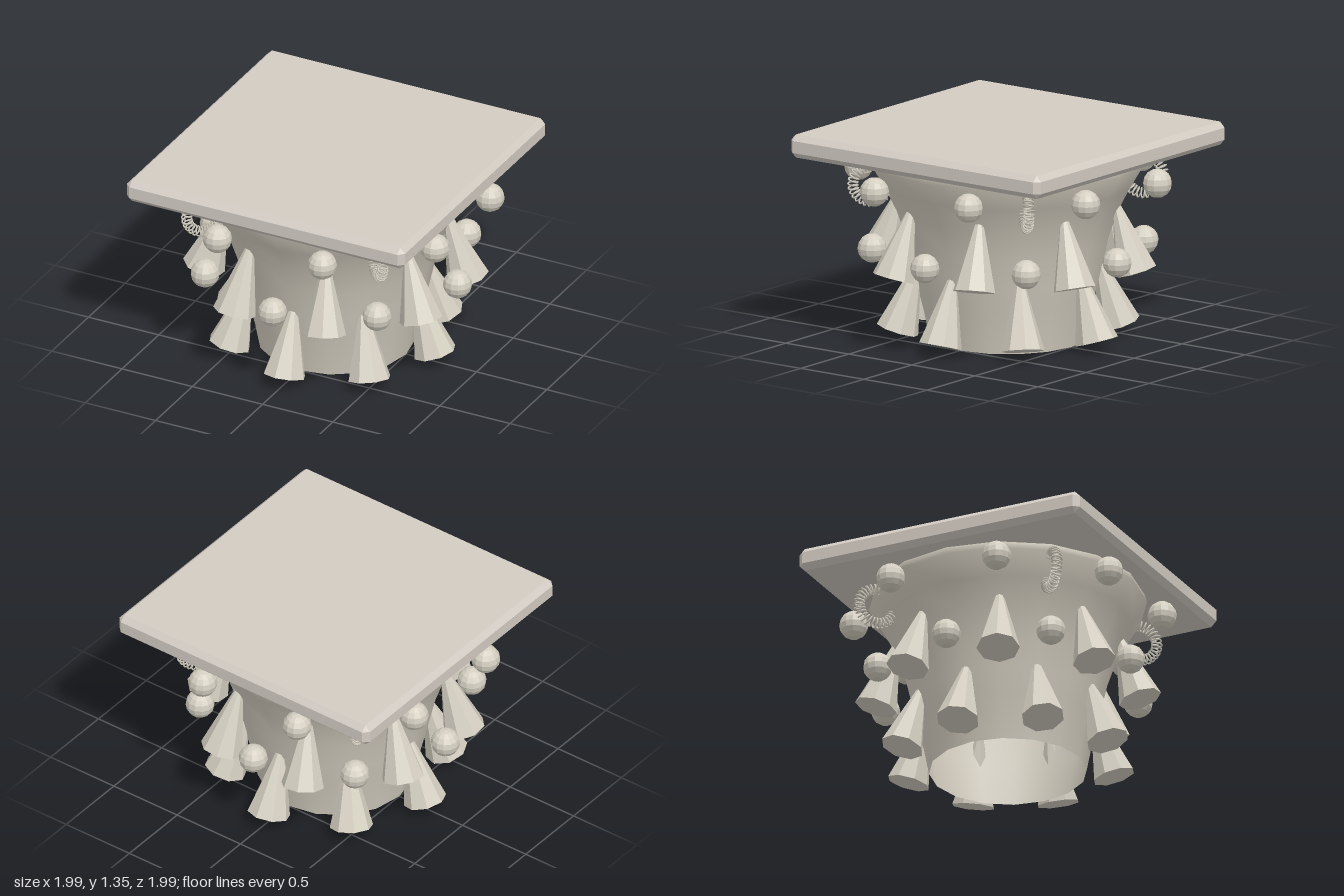
import * as THREE from 'three';
import { ConvexGeometry } from 'three/addons/geometries/ConvexGeometry.js';

const slabStone = new THREE.MeshStandardMaterial({ name: 'slab stone', color: 0xd2cbc2 });
const bellStone = new THREE.MeshStandardMaterial({ name: 'bell stone', color: 0xd3cdbf, side: THREE.DoubleSide });
const carvedStone = new THREE.MeshStandardMaterial({ name: 'carved stone', color: 0xd4cfc1 });

// Box with every edge chamfered by c
function chamferBox(hx, hy, hz, c) {
  const pts = [];
  for (const x of [-1, 1]) for (const y of [-1, 1]) for (const z of [-1, 1]) {
    pts.push(new THREE.Vector3(x * hx, y * (hy - c), z * (hz - c)));
    pts.push(new THREE.Vector3(x * (hx - c), y * hy, z * (hz - c)));
    pts.push(new THREE.Vector3(x * (hx - c), y * (hy - c), z * hz));
  }
  return new ConvexGeometry(pts);
}

// Thin wire wound around a ring, forming an openwork scroll
class ScrollCurve extends THREE.Curve {
  getPoint(t, target = new THREE.Vector3()) {
    const a = t * Math.PI * 2, b = a * 30;
    const r = 0.117 + 0.032 * Math.cos(b);
    return target.set(r * Math.cos(a), r * Math.sin(a), 0.032 * Math.sin(b));
  }
}

function flat(geometry) {
  const g = geometry.toNonIndexed();
  g.computeVertexNormals();
  return g;
}

export function createModel() {
  const model = new THREE.Group();
  model.name = 'columnCapital';

  function add(name, geometry, material, parent = model) {
    const mesh = new THREE.Mesh(geometry, material);
    mesh.name = name;
    parent.add(mesh);
    return mesh;
  }

  // Eight copies (or fewer) around the axis; local +x points outward
  function ring(name, count, start, build) {
    for (let i = 0; i < count; i++) {
      const arm = new THREE.Group();
      arm.name = name + (i + 1);
      arm.rotation.y = start + (i * Math.PI * 2) / count;
      build(arm);
      model.add(arm);
    }
  }

  // Square top slab
  add('topSlab', chamferBox(0.99, 0.075, 0.99, 0.036), slabStone).position.y = 1.275;

  // Flaring, hollow bell
  const profile = [[0.5, 0], [0.53, 0.16], [0.565, 0.3], [0.6, 0.45], [0.645, 0.65],
    [0.71, 0.84], [0.79, 1.0], [0.88, 1.15], [0.86, 1.21]];
  add('bell', new THREE.LatheGeometry(profile.map(p => new THREE.Vector2(...p)), 16), bellStone);

  // Two tiers of tapered leaves leaning against the bell
  const leaf = flat(new THREE.CylinderGeometry(0.028, 0.138, 0.43, 8));
  const leafTier = (name, start, radius, y) => ring(name, 8, start, arm => {
    const mesh = add('leaf', leaf, carvedStone, arm);
    mesh.position.set(radius, y, 0);
    mesh.rotation.z = 0.3;
  });
  leafTier('lowerLeaf', 0, 0.64, 0.272);
  leafTier('upperLeaf', Math.PI / 8, 0.772, 0.68);

  // Two tiers of berries standing off the bell
  const berry = flat(new THREE.SphereGeometry(0.093, 12, 8));
  const berryTier = (name, start, radius, y) => ring(name, 8, start, arm => {
    add('berry', berry, carvedStone, arm).position.set(radius, y, 0);
  });
  berryTier('lowerBerry', 0, 0.865, 0.6);
  berryTier('upperBerry', Math.PI / 8, 0.975, 1.05);

  // Upright scrolls under the four corners
  const scroll = new THREE.TubeGeometry(new ScrollCurve(), 360, 0.006, 4, true);
  ring('cornerScroll', 4, Math.PI / 4, arm => {
    add('scroll', scroll, carvedStone, arm).position.set(0.87, 1.02, 0);
  });

  return model;
}
